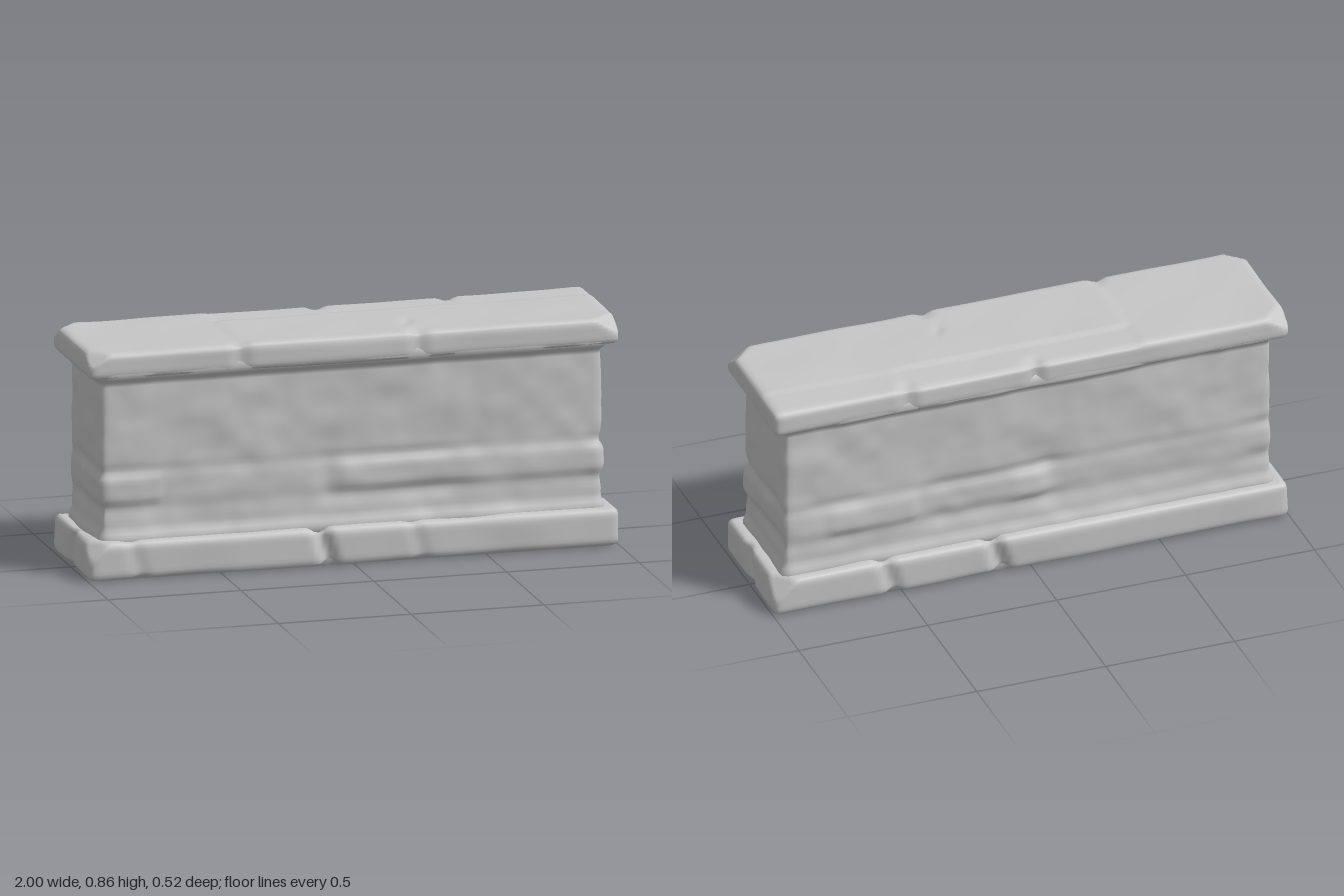
import * as THREE from 'three';
import { mergeVertices } from 'three/addons/utils/BufferGeometryUtils.js';

const clamp = THREE.MathUtils.clamp;
const smooth = THREE.MathUtils.smoothstep;
const bump = (v, centre, width) => Math.max(0, 1 - Math.abs(v - centre) / width);

// Seeded value noise in the range -1..1
function hash(i, j, k) {
  const s = Math.sin(i * 127.1 + j * 311.7 + k * 74.7 + 5.3) * 43758.5453;
  return (s - Math.floor(s)) * 2 - 1;
}
function noise(x, y, z) {
  const [i, j, k] = [x, y, z].map(Math.floor);
  const [u, v, w] = [x - i, y - j, z - k].map((t) => t * t * (3 - 2 * t));
  let sum = 0;
  for (let a = 0; a < 2; a++)
    for (let b = 0; b < 2; b++)
      for (let c = 0; c < 2; c++)
        sum += hash(i + a, j + b, k + c) * (a ? u : 1 - u) * (b ? v : 1 - v) * (c ? w : 1 - w);
  return sum;
}

// Rounded stone block; offset(p, n) pushes each point along its outward normal.
// Chips are planes [nx, ny, nz, distance] that cut corners off.
function stoneBlock(name, material, half, y0, y1, radius, segments, offset, chips = []) {
  const height = y1 - y0;
  let geometry = new THREE.BoxGeometry(half[0] * 2, height, half[1] * 2, ...segments);
  geometry.deleteAttribute('normal');
  geometry.deleteAttribute('uv');
  geometry = mergeVertices(geometry, 1e-5);
  const position = geometry.attributes.position;
  const limit = new THREE.Vector3(half[0], height / 2, half[1]).subScalar(radius);
  const p = new THREE.Vector3();
  const n = new THREE.Vector3();
  for (let i = 0; i < position.count; i++) {
    p.fromBufferAttribute(position, i);
    const inner = p.clone().clamp(limit.clone().negate(), limit);
    n.copy(p).sub(inner).normalize();
    p.copy(inner).addScaledVector(n, radius);
    p.y += (y0 + y1) / 2;
    p.addScaledVector(n, offset(p, n));
    for (const [a, b, c, d] of chips) {
      const plane = new THREE.Vector3(a, b, c).normalize();
      const excess = p.dot(plane) - d;
      if (excess > 0) p.addScaledVector(plane, -excess);
    }
    position.setXYZ(i, p.x, p.y, p.z);
  }
  geometry.computeVertexNormals();
  const mesh = new THREE.Mesh(geometry, material);
  mesh.name = name;
  return mesh;
}

// Deepest of several narrow vertical notches [x, depth]
function notches(x, list, width) {
  return Math.max(0, ...list.map(([at, depth]) => depth * bump(x, at, width)));
}

export function createModel() {
  const group = new THREE.Group();
  group.name = 'stoneWall';
  const stone = new THREE.MeshStandardMaterial({ color: 0xc6c6c6 });
  stone.name = 'grey stone';

  // Plinth with joints between its stones
  const plinth = (p, n) => {
    const side = Math.hypot(n.x, n.z);
    const lean = (p.y - 0.07) * 0.3;
    const long = p.z > 0
      ? notches(p.x + lean, [[-0.11, 0.03], [0.24, 0.008], [-0.82, 0.008]], 0.04)
      : notches(p.x - lean, [[0.13, 0.03], [0.55, 0.02]], 0.04);
    const end = notches(p.z - lean, [[p.x > 0 ? 0.02 : -0.02, 0.025]], 0.045);
    const wear = 0.005 * (noise(p.x * 5, p.y * 8, p.z * 6) - 0.5);
    return Math.abs(n.z) > 0.3 || Math.abs(n.x) < 0.3
      ? (n.y < -0.9 ? 0 : wear - long * smooth(Math.abs(p.z), 0.16, 0.23))
      : wear * side - end * Math.abs(n.x);
  };
  group.add(stoneBlock('plinth', stone, [1, 0.256], 0, 0.145, 0.028, [110, 10, 36], plinth,
    [[1, 1, -1, 0.75], [-1, 1, 1, 0.76]]));

  // Wall with worn courses near the foot and a flare under the coping
  const wall = (p, n) => {
    const along = Math.abs(n.z) > 0.5 ? p.x : p.z;
    const shift = p.z > 0 ? 0 : 7;
    const broken = clamp(0.6 + noise(along * 4 + shift, 1.5, shift), 0.1, 1);
    const courses = 0.012 * broken * (bump(p.y, 0.255, 0.045) + bump(p.y, 0.395, 0.03));
    const block = 0.009 * smooth(noise(along * 3.5 + shift, 0.5, 3), 0, 0.25)
      * smooth(p.y, 0.26, 0.29) * (1 - smooth(p.y, 0.36, 0.4));
    const gap = 0.012 * bump(along, -0.09, 0.06) * bump(p.y, 0.35, 0.16);
    const flare = 0.05 * smooth(p.y, 0.73, 0.765);
    const foot = 0.015 * (1 - smooth(p.y, 0.14, 0.19));
    const wear = 0.007 * noise(p.x * 6, p.y * 7, p.z * 6) + 0.003 * noise(p.x * 15, p.y * 15, p.z * 15);
    return flare + foot + block + wear - courses - gap;
  };
  group.add(stoneBlock('wall', stone, [0.942, 0.206], 0.12, 0.775, 0.018, [110, 44, 26], wall));

  // Coping with notched edges and slightly uneven slabs on top
  const coping = (p, n) => {
    const long = p.z > 0
      ? notches(p.x, [[-0.43, 0.014], [0.24, 0.014]], 0.04)
      : notches(p.x, [[-0.015, 0.018], [0.48, 0.016]], 0.04);
    const rim = smooth(Math.abs(p.z), 0.17, 0.24);
    const wear = 0.004 * (noise(p.x * 5 + 3, p.y * 9, p.z * 6) - 0.5);
    let slab = 0;
    if (n.y > 0.5) {
      const middle = smooth(p.x, -0.44, -0.41) * (1 - smooth(p.x, 0.47, 0.5));
      slab = p.z > -0.11 ? 0.004 * smooth(p.x, -0.44, -0.41) : -0.004 * middle;
      slab -= 0.008 * bump(p.x - (p.z - 0.08) * -0.3, 0.24, 0.025) * bump(p.z, 0.1, 0.07);
      slab -= 0.002;
    }
    return wear + slab - long * rim;
  };
  group.add(stoneBlock('coping', stone, [1, 0.256], 0.753, 0.856, 0.026, [110, 8, 36], coping,
    [[-1, 1.5, -1, 1.18], [1, 1.5, 1, 1.18], [-1, 1.5, 1, 1.185]]));

  return group;
}
